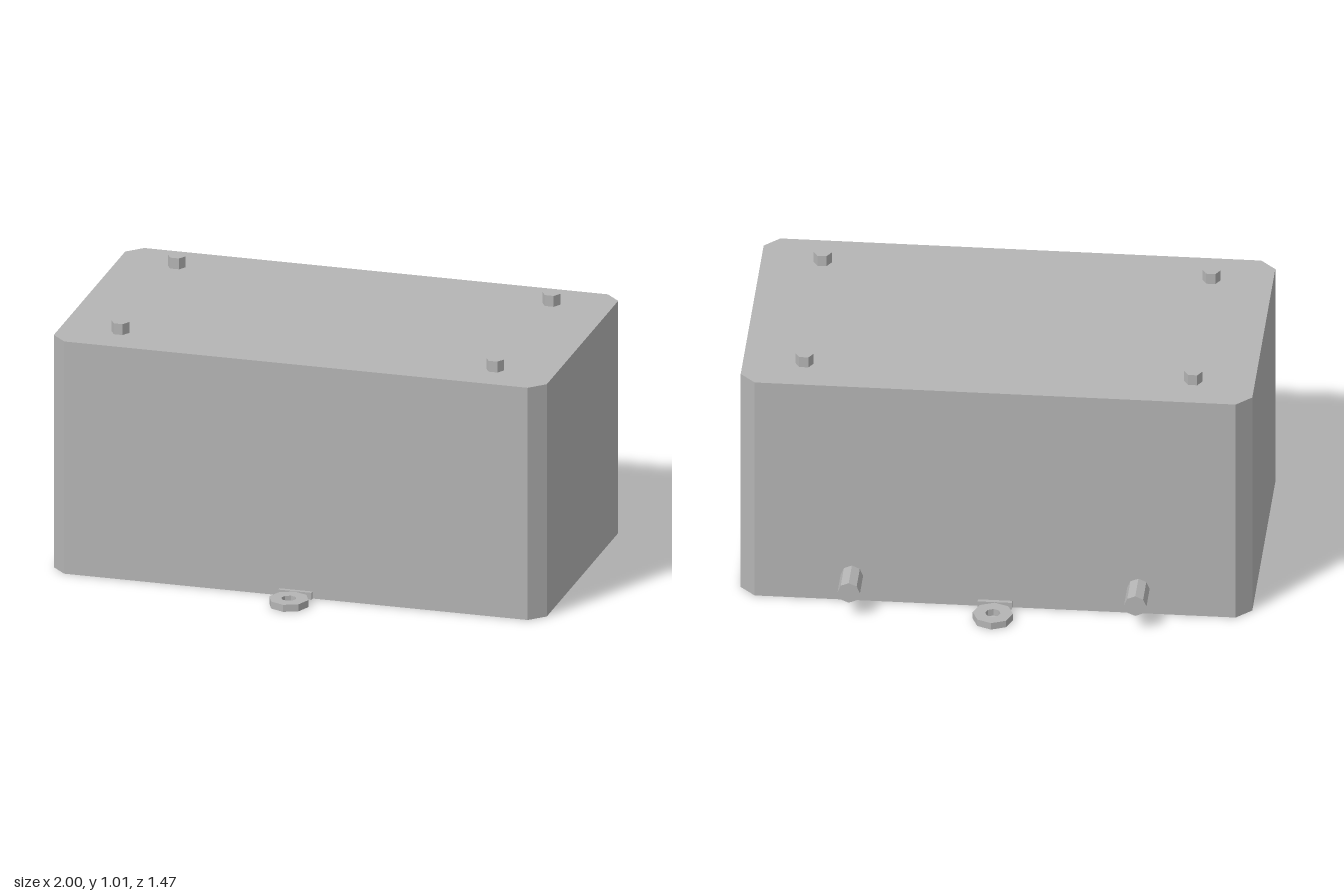
import * as THREE from 'three';

export function createModel() {
  const model = new THREE.Group();
  const grey = new THREE.MeshStandardMaterial({ color: 0xb4b4b4, flatShading: true });
  grey.name = 'grey';

  function add(name, geometry, x = 0, y = 0, z = 0) {
    const mesh = new THREE.Mesh(geometry, grey);
    mesh.name = name;
    mesh.position.set(x, y, z);
    model.add(mesh);
    return mesh;
  }

  // Extrude a plan outline upwards from y = 0
  function upright(shape, height) {
    return new THREE.ExtrudeGeometry(shape, { depth: height, bevelEnabled: false }).rotateX(-Math.PI / 2);
  }

  function octagon(r) {
    return Array.from({ length: 8 }, (_, i) => {
      const a = (i * Math.PI) / 4;
      return new THREE.Vector2(r * Math.cos(a), r * Math.sin(a));
    });
  }

  // Case with chamfered upright corners
  const w = 1, d = 0.555, c = 0.06;
  const outline = [
    [w, -d + c], [w, d - c], [w - c, d], [-w + c, d],
    [-w, d - c], [-w, -d + c], [-w + c, -d], [w - c, -d],
  ].map(([x, y]) => new THREE.Vector2(x, y));
  add('case', upright(new THREE.Shape(outline), 0.962));

  // Hexagonal bolt heads on the lid
  const bolt = new THREE.CylinderGeometry(0.036, 0.036, 0.045, 6).rotateY(Math.PI / 2);
  for (const x of [-0.76, 0.76]) {
    for (const z of [-0.39, 0.39]) add('lidBolt', bolt, x, 0.9845, z);
  }

  // Octagonal connectors at the back
  const connector = new THREE.CylinderGeometry(0.044, 0.044, 0.137, 8).rotateX(Math.PI / 2);
  for (const x of [-0.56, 0.56]) add('backConnector', connector, x, 0.111, -0.6225);

  // Mounting eyelets with their tabs, front and back
  const ring = new THREE.Shape(octagon(0.079));
  ring.holes.push(new THREE.Path(octagon(0.03)));
  const eyelet = upright(ring, 0.029);
  const tab = new THREE.BoxGeometry(0.134, 0.029, 0.017);
  for (const side of [-1, 1]) {
    add('mountingEyelet', eyelet, 0, 0, side * 0.654);
    add('mountingTab', tab, 0, 0.0145, side * 0.5625);
  }

  return model;
}
